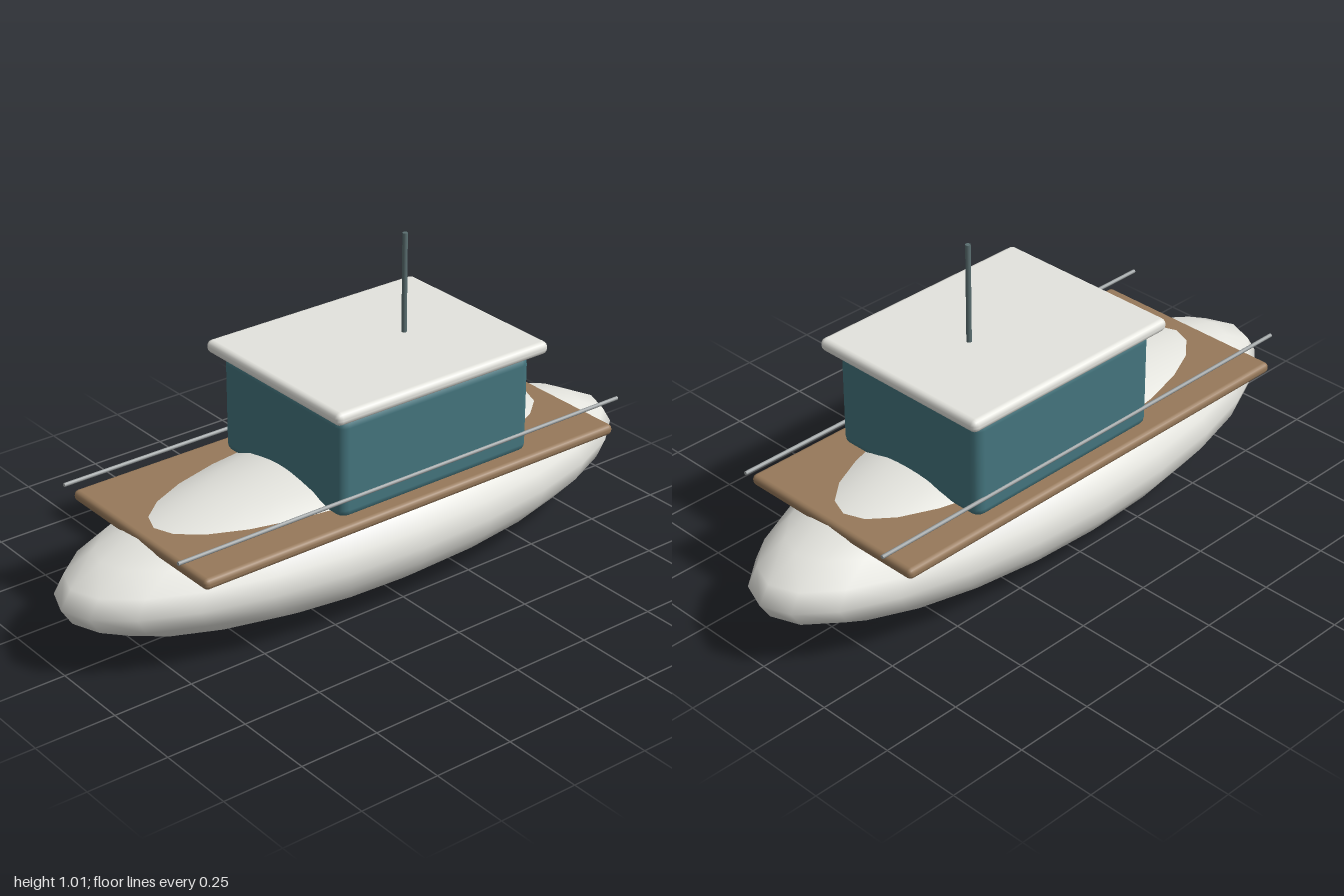
import * as THREE from 'three';
import { RoundedBoxGeometry } from 'three/addons/geometries/RoundedBoxGeometry.js';

const mat = (color) => new THREE.MeshStandardMaterial({ color });

export function createModel() {
  const boat = new THREE.Group();
  boat.name = 'boat';
  const white = mat(0xe4e4de), wood = mat(0x97795a), teal = mat(0x44757e);
  const steel = mat(0x9a9fa0), mastGrey = mat(0x5a6e70);

  const add = (name, geometry, material, x, y, z) => {
    const mesh = new THREE.Mesh(geometry, material);
    mesh.name = name;
    mesh.position.set(x, y, z);
    boat.add(mesh);
    return mesh;
  };
  // Rounded slab given by its size, bottom height and z centre
  const slab = (name, w, h, d, bottom, z, radius, material) =>
    add(name, new RoundedBoxGeometry(w, h, d, 2, radius), material, 0, bottom + h / 2, z);

  // Ellipsoid hull that swells up through the deck
  add('hull', new THREE.SphereGeometry(1, 24, 12).scale(0.348, 0.208, 1), white, 0, 0.208, 0);

  slab('deck', 0.655, 0.034, 1.49, 0.324, 0, 0.015, wood);
  slab('cabin', 0.56, 0.315, 0.695, 0.345, -0.0975, 0.03, teal);
  slab('roof', 0.625, 0.04, 0.77, 0.661, -0.1, 0.018, white);

  // Mast standing on the roof
  add('mast', new THREE.CylinderGeometry(0.008, 0.008, 0.33, 12), mastGrey, 0, 0.845, -0.2);

  // Side rails
  for (const [side, name] of [[1, 'leftRail'], [-1, 'rightRail']]) {
    const rail = new THREE.CylinderGeometry(0.006, 0.006, 1.6, 8).rotateX(Math.PI / 2);
    add(name, rail, steel, side * 0.28, 0.411, 0);
  }
  return boat;
}
